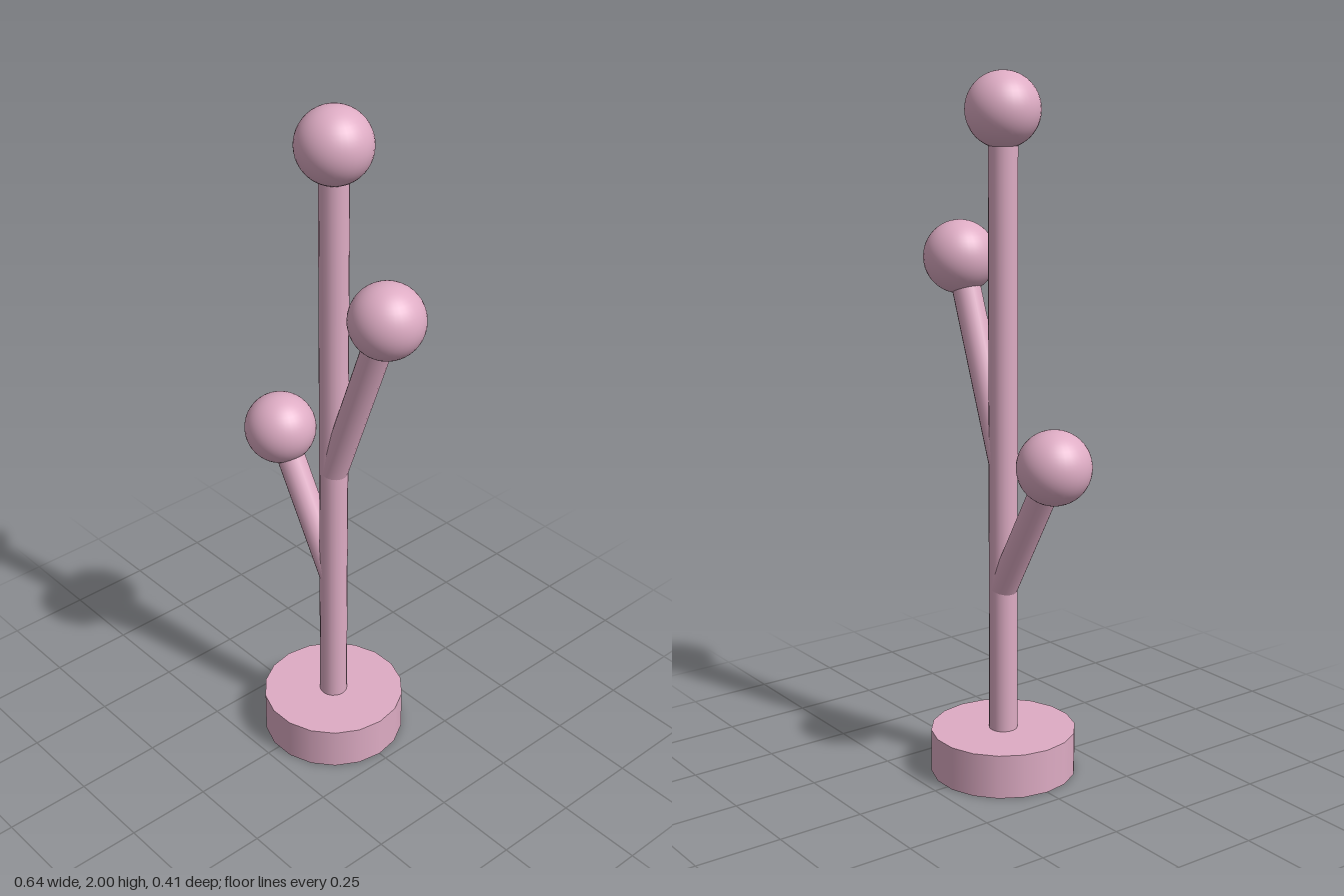
import * as THREE from 'three';

export function createModel() {
  const group = new THREE.Group();
  const pink = new THREE.MeshStandardMaterial({ color: 0xdeacc4 });
  pink.name = 'dusty pink';

  const axisX = 0.013; // the stem stands slightly off centre
  const rodRadius = 0.041;
  const up = new THREE.Vector3(0, 1, 0);

  const add = (name, geometry) => {
    const mesh = new THREE.Mesh(geometry, pink);
    mesh.name = name;
    group.add(mesh);
    return mesh;
  };

  // Round rod between two points in the x-y plane
  const addRod = (name, x0, y0, x1, y1) => {
    const a = new THREE.Vector3(x0, y0, 0);
    const b = new THREE.Vector3(x1, y1, 0);
    const dir = b.clone().sub(a);
    const rod = add(name, new THREE.CylinderGeometry(rodRadius, rodRadius, dir.length(), 18));
    rod.position.copy(a).add(b).multiplyScalar(0.5);
    rod.quaternion.setFromUnitVectors(up, dir.normalize());
  };

  const addBall = (name, x, y) => {
    add(name, new THREE.SphereGeometry(0.104, 36, 24)).position.set(x, y, 0);
  };

  // Disc base
  const base = add('base', new THREE.CylinderGeometry(0.21, 0.21, 0.128, 18));
  base.rotation.y = Math.PI / 2;
  base.position.set(axisX, 0.064, 0);

  // Stem and branches, each ending in a ball
  const limbs = [
    ['stem', axisX, 0.1, axisX, 1.896, 1.82],
    ['leftBranch', axisX, 0.92, 0.218, 1.48],
    ['rightBranch', axisX, 0.553, -0.219, 0.955],
  ];
  for (const [name, x0, y0, x1, y1, rodTop = y1] of limbs) {
    addRod(name, x0, y0, x1, rodTop);
    addBall(name + 'Ball', x1, y1);
  }

  return group;
}
